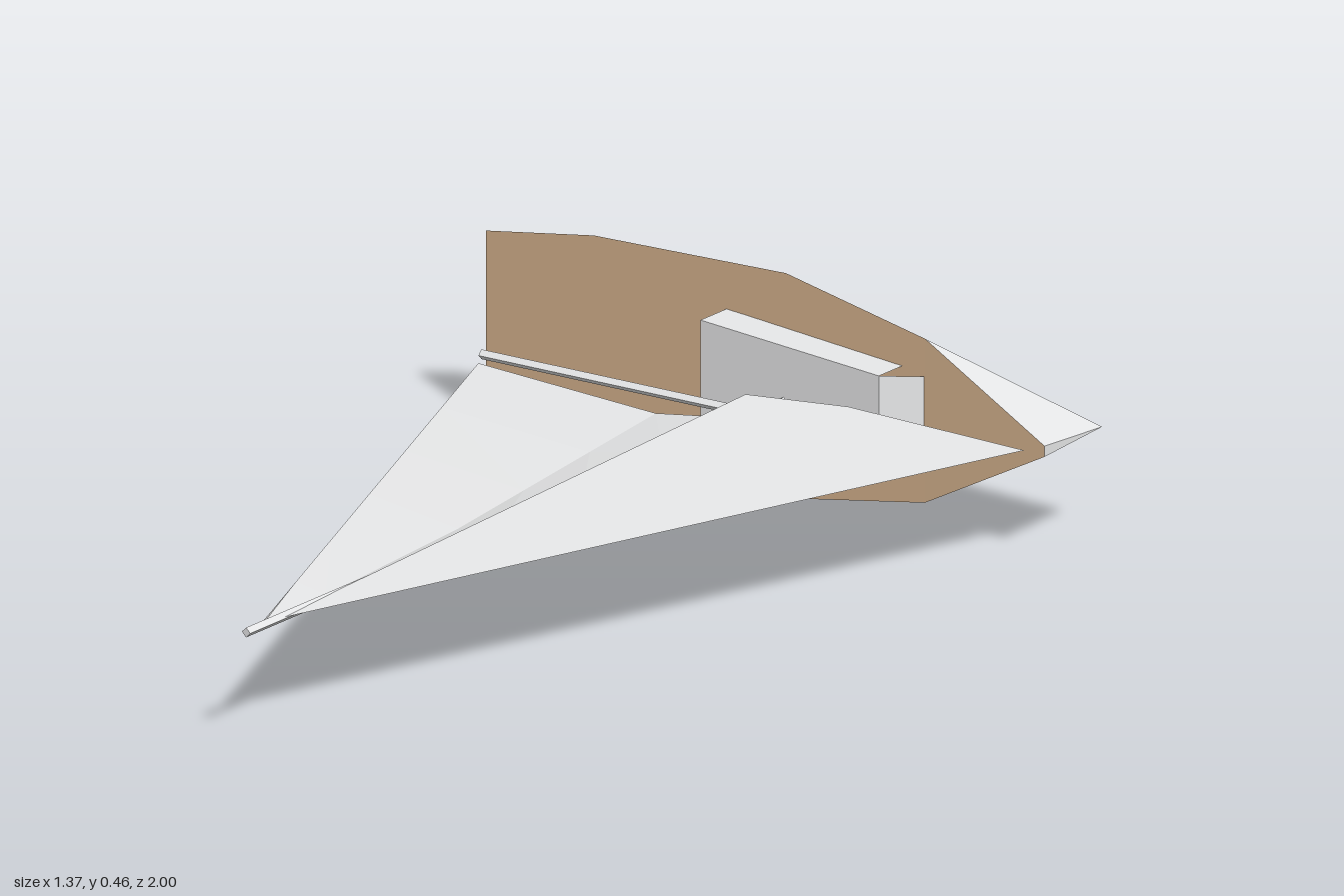
import * as THREE from 'three';

const white = new THREE.MeshStandardMaterial({ color: 0xe6e7e8, flatShading: true });
white.name = 'white paint';
const wood = new THREE.MeshStandardMaterial({ color: 0xd8b48f, flatShading: true });
wood.name = 'deck wood';
const cloth = new THREE.MeshStandardMaterial({ color: 0xe6e7e8, flatShading: true, side: THREE.DoubleSide });
cloth.name = 'sail cloth';

// Mesh from polygons, each a counter-clockwise list of points
function polyMesh(name, polys, material) {
  const pos = [];
  for (const p of polys) {
    for (let i = 1; i < p.length - 1; i++) pos.push(...p[0], ...p[i], ...p[i + 1]);
  }
  const g = new THREE.BufferGeometry();
  g.setAttribute('position', new THREE.Float32BufferAttribute(pos, 3));
  g.computeVertexNormals();
  const m = new THREE.Mesh(g, material);
  m.name = name;
  return m;
}

// Four-sided spar between two points
function spar(name, a, b, radius) {
  const from = new THREE.Vector3(...a), to = new THREE.Vector3(...b);
  const dir = to.clone().sub(from);
  const m = new THREE.Mesh(new THREE.CylinderGeometry(radius, radius, dir.length(), 4), white);
  m.position.copy(from).add(to).multiplyScalar(0.5);
  m.quaternion.setFromUnitVectors(new THREE.Vector3(0, 1, 0), dir.normalize());
  m.name = name;
  return m;
}

export function createModel() {
  const boat = new THREE.Group();
  boat.name = 'sailboat';
  const midY = 0.23;

  // Hull stations: x, half width, deck z, keel z
  const stations = [
    [-0.685, 0.161, -0.823, -0.968],
    [-0.42, 0.207, -0.816, -0.99],
    [0.05, 0.229, -0.806, -1.0],
    [0.39, 0.167, -0.799, -0.993],
    [0.685, 0.011, -0.79, -0.975],
  ].map(([x, w, d, k]) => ({
    a: [x, midY + w, d], b: [x, midY - w, d], k: [x, midY, k],
  }));
  const sides = [], deck = [];
  for (let i = 0; i < stations.length - 1; i++) {
    const s = stations[i], t = stations[i + 1];
    sides.push([s.a, t.a, t.k, s.k], [s.b, s.k, t.k, t.b]);
    deck.push([s.b, t.b, t.a, s.a]);
  }
  const stern = stations[0], bow = stations[stations.length - 1];
  sides.push([stern.a, stern.k, stern.b], [bow.a, bow.b, bow.k]);
  boat.add(polyMesh('hull', sides, white), polyMesh('deck', deck, wood));

  // Cabin, narrowing toward the bow, with a sloping windscreen
  const x0 = -0.095, x1 = 0.335, roof = -0.725, base = -0.808;
  const corners = (z) => [[x0, 0.105, z], [x1, 0.13, z], [x1, 0.33, z], [x0, 0.356, z]];
  const r = corners(roof), f = corners(base);
  const walls = [r];
  for (const i of [0, 2, 3]) {
    const j = (i + 1) % 4;
    walls.push([f[i], f[j], r[j], r[i]]);
  }
  boat.add(polyMesh('cabin', walls, white));
  boat.add(polyMesh('windscreen',
    [[r[1], [0.39, 0.14, -0.797], [0.39, 0.32, -0.797], r[2]]], cloth));

  // Mast and boom
  boat.add(spar('mast', [0.105, midY, -0.806], [0.105, midY, 1], 0.01));
  boat.add(spar('boom', [0.112, midY, -0.635], [-0.555, 0.217, -0.635], 0.01));

  // Mainsail: rows of luff, belly and leech points up the mast
  const main = [];
  const row = (t) => {
    const z = THREE.MathUtils.lerp(-0.605, 0.95, t), k = 1 - t;
    const belly = 0.033 * Math.min(1, k * 2);
    return [
      [0.1, 0.229, z],
      [0.1 - 0.22 * k, 0.224 - belly, z - 0.01 * k],
      [0.1 - 0.64 * k, 0.23 - 0.02 * k, z],
    ];
  };
  const rows = 6;
  for (let i = 0; i < rows; i++) {
    const p = row(i / rows), q = row((i + 1) / rows);
    for (let j = 0; j < 2; j++) main.push([p[j], q[j], q[j + 1], p[j + 1]].reverse());
  }
  boat.add(polyMesh('mainsail', main, cloth));

  // Jib: a fan from the masthead to the clew, foot and bow
  const head = [0.108, 0.232, 0.9];
  const clew = [0.1, 0.276, -0.61], foot = [0.28, 0.263, -0.7], tack = [0.655, 0.233, -0.765];
  boat.add(polyMesh('jib', [[head, tack, foot], [head, foot, clew]], cloth));

  return boat;
}
